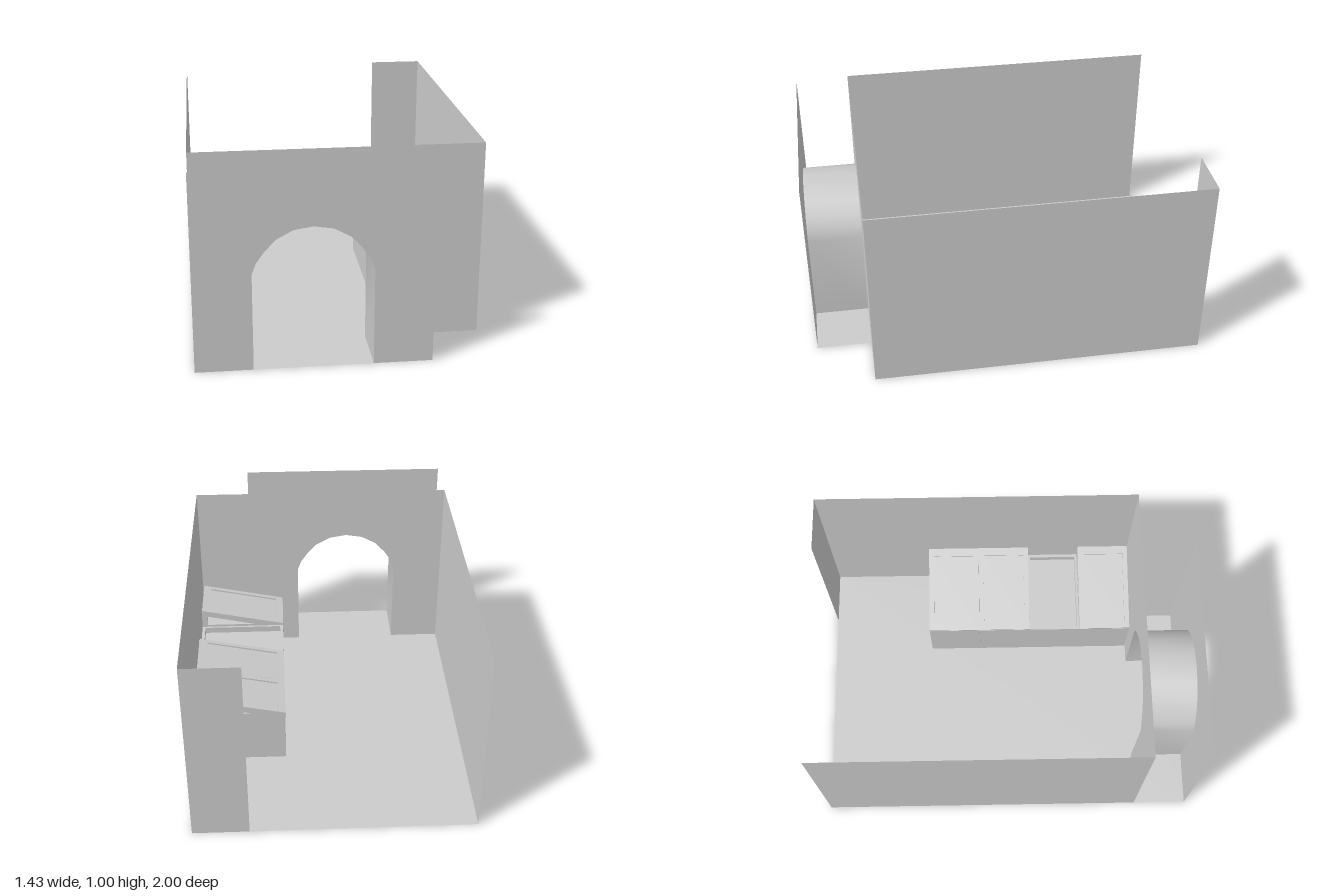
import * as THREE from 'three';
import { toCreasedNormals } from 'three/addons/utils/BufferGeometryUtils.js';

const material = new THREE.MeshStandardMaterial({ color: 0xcccccc, side: THREE.DoubleSide });

// Room extents
const W = 0.714, BACK = -1, INNER = 0.714, FRONT = 1, STEP = 0.428, H = 1;
// Arched opening: half outline measured from its centre line
const ARCH_X = -0.147;
const HALF_ARCH = [[0.288, 0], [0.288, 0.49], [0.268, 0.545], [0.23, 0.6], [0.175, 0.66], [0.093, 0.704], [0, 0.719]];
const ARCH = [
  ...HALF_ARCH.map(([x, y]) => [ARCH_X - x, y]),
  ...HALF_ARCH.slice(0, -1).reverse().map(([x, y]) => [ARCH_X + x, y]),
];

const points = (list) => list.map(([x, y]) => new THREE.Vector2(x, y));

function add(parent, name, geometry, x = 0, y = 0, z = 0) {
  const mesh = new THREE.Mesh(geometry, material);
  mesh.name = name;
  mesh.position.set(x, y, z);
  parent.add(mesh);
  return mesh;
}

function box(parent, name, size, x, y, z) {
  return add(parent, name, new THREE.BoxGeometry(...size), x, y, z);
}

// Thin wall facing z, with the arch cut up from its bottom edge
function archedWall(x0, x1) {
  return new THREE.ShapeGeometry(new THREE.Shape(points([[x0, 0], ...ARCH, [x1, 0], [x1, H], [x0, H]])));
}

function framed(outline, hole, depth) {
  const shape = new THREE.Shape(points(outline));
  shape.holes.push(new THREE.Path(points(hole)));
  return new THREE.ExtrudeGeometry(shape, { depth, bevelEnabled: false });
}

const rect = (x0, y0, x1, y1) => [[x0, y0], [x1, y0], [x1, y1], [x0, y1]];

// Lining of the arch between the two walls
function archLining() {
  const positions = [], index = [];
  ARCH.forEach(([x, y], i) => {
    positions.push(x, y, INNER, x, y, FRONT);
    if (i) {
      const a = 2 * i - 2;
      index.push(a, a + 2, a + 1, a + 1, a + 2, a + 3);
    }
  });
  const g = new THREE.BufferGeometry();
  g.setAttribute('position', new THREE.Float32BufferAttribute(positions, 3));
  g.setIndex(index);
  return toCreasedNormals(g, 0.7);
}

const CX = 0.238, CW = 0.472, CD = 0.285, CH = 0.275, RISE = 0.11;

// Sloped display top: cheeks with windows, framed lid, recessed pane, back
function displayTop(parent) {
  const top = new THREE.Group();
  top.name = 'displayTop';
  top.position.y = CH;
  parent.add(top);
  box(top, 'counterPlate', [CW, 0.01, CD], CW / 2, 0.005, 0);
  const cheek = framed(
    [[0, 0.01], [CW, 0.01], [CW, RISE], [0, 0.012]],
    [[0.17, 0.022], [0.44, 0.022], [0.44, 0.08]], 0.015);
  add(top, 'leftCheek', cheek, 0, 0, CD / 2 - 0.015);
  add(top, 'rightCheek', cheek, 0, 0, -CD / 2);
  box(top, 'backPanel', [0.015, RISE - 0.015, CD - 0.03], CW - 0.0075, 0.055, 0);

  const lid = new THREE.Group();
  lid.name = 'lid';
  lid.position.y = 0.016;
  lid.rotation.z = Math.atan2(RISE - 0.012, CW);
  top.add(lid);
  const L = Math.hypot(CW, RISE - 0.012) - 0.003, d = CD / 2;
  const frame = framed(rect(0, -d, L, d), rect(0.04, -d + 0.027, L - 0.045, d - 0.027), 0.014);
  frame.rotateX(-Math.PI / 2);
  add(lid, 'lidFrame', frame, 0, -0.008, 0);
  box(lid, 'lidPane', [L - 0.07, 0.004, CD - 0.04], L / 2, -0.004, 0);
}

// Plain counter with a shallow tray sunk into its top
function trayTop(parent) {
  const rim = framed(rect(0, -CD / 2, CW, CD / 2), rect(0.017, -CD / 2 + 0.012, CW - 0.017, CD / 2 - 0.012), 0.035);
  rim.rotateX(-Math.PI / 2);
  add(parent, 'trayRim', rim, 0, CH - 0.025, 0);
}

export function createModel() {
  const model = new THREE.Group();
  model.name = 'shopRoom';

  // Stepped floor
  const floor = new THREE.ShapeGeometry(new THREE.Shape(points([
    [-W, -FRONT], [STEP, -FRONT], [STEP, -INNER], [W, -INNER], [W, -BACK], [-W, -BACK]])));
  add(model, 'floor', floor.rotateX(-Math.PI / 2));

  // Walls
  add(model, 'frontWall', archedWall(-W, STEP), 0, 0, FRONT);
  add(model, 'innerWall', archedWall(-W, W), 0, 0, INNER);
  add(model, 'archLining', archLining());
  for (const [name, side] of [['leftWall', 1], ['rightWall', -1]]) {
    const wall = add(model, name, new THREE.PlaneGeometry(INNER - BACK, H), side * W, H / 2, (INNER + BACK) / 2);
    wall.rotation.y = side * Math.PI / 2;
  }
  const back = add(model, 'backWall', new THREE.PlaneGeometry(W - STEP, H), (W + STEP) / 2, H / 2, BACK);
  back.rotation.y = Math.PI;

  // Row of counters along the left wall; the second one holds a tray
  for (let i = 0; i < 4; i++) {
    const counter = new THREE.Group();
    counter.name = 'counter' + (i + 1);
    counter.position.set(CX, 0, 0.569 - i * 0.286);
    model.add(counter);
    const h = i === 1 ? CH - 0.025 : CH;
    box(counter, 'counterBase', [CW, h, CD], CW / 2, h / 2, 0);
    if (i === 1) trayTop(counter);
    else displayTop(counter);
  }
  return model;
}
